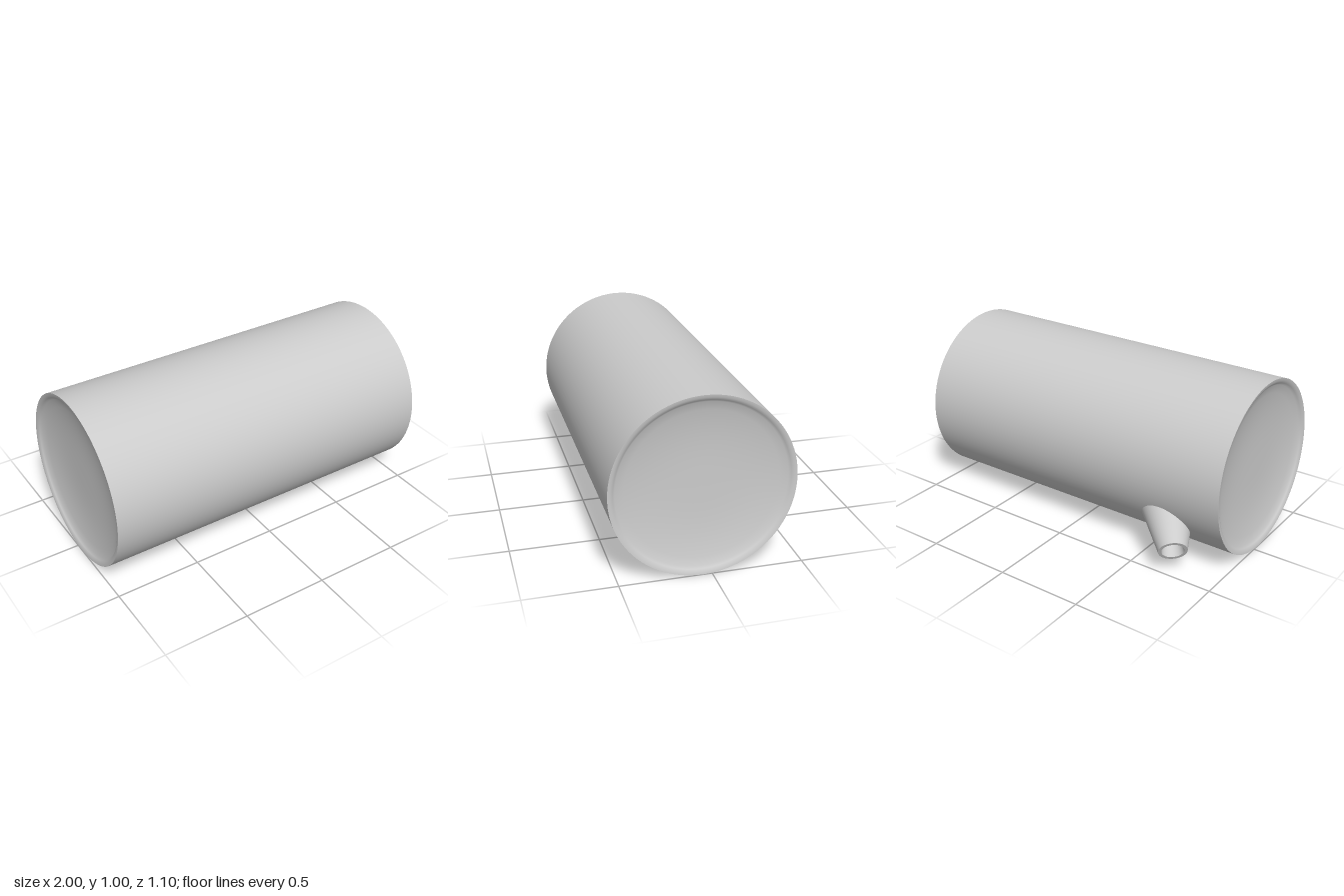
import * as THREE from 'three';

const material = new THREE.MeshStandardMaterial({ color: 0xcccccc });

// Smooth surface of revolution around +y from [radius, height] pairs.
function lathe(name, profile, segments) {
  const points = profile.map(([r, h]) => new THREE.Vector2(r, h));
  const mesh = new THREE.Mesh(new THREE.LatheGeometry(points, segments), material);
  mesh.name = name;
  return mesh;
}

export function createModel() {
  const model = new THREE.Group();
  model.name = 'tank';

  // Drum lying along x, with a shallow dish sunk into each end
  const drum = new THREE.Group();
  drum.name = 'drum';
  drum.position.set(0, 0.5, 0.05);
  drum.rotation.z = -Math.PI / 2;
  drum.add(lathe('drumWall', [[0.5, -1], [0.5, 1]], 96));

  const dish = [[0.5, 1], [0.485, 0.998], [0.47, 0.99], [0.458, 0.978]];
  for (let i = 1; i <= 10; i++) {
    const r = 0.458 * (1 - i / 10);
    dish.push([r, 0.94 + 0.038 * (r / 0.458) ** 3]);
  }
  for (const [name, turn] of [['leftEndDish', 0], ['rightEndDish', Math.PI]]) {
    const end = lathe(name, dish, 96);
    end.rotation.z = turn;
    drum.add(end);
  }
  model.add(drum);

  // Tapered spout low on the back, leaning towards the right end
  const spout = new THREE.Group();
  spout.name = 'spout';
  spout.add(
    lathe('spoutWall', [[0.155, -0.32], [0.08, 0]], 48),
    lathe('spoutRim', [[0.08, 0], [0.062, 0]], 48),
    lathe('spoutBore', [[0.062, 0], [0.05, -0.1]], 48),
    lathe('spoutBoreFloor', [[0.05, -0.1], [0, -0.1]], 48)
  );
  const direction = new THREE.Vector3(-0.57, -0.44, -0.69).normalize();
  spout.position.set(-0.765, 0.157, -0.492);
  spout.quaternion.setFromUnitVectors(new THREE.Vector3(0, 1, 0), direction);
  model.add(spout);

  return model;
}
